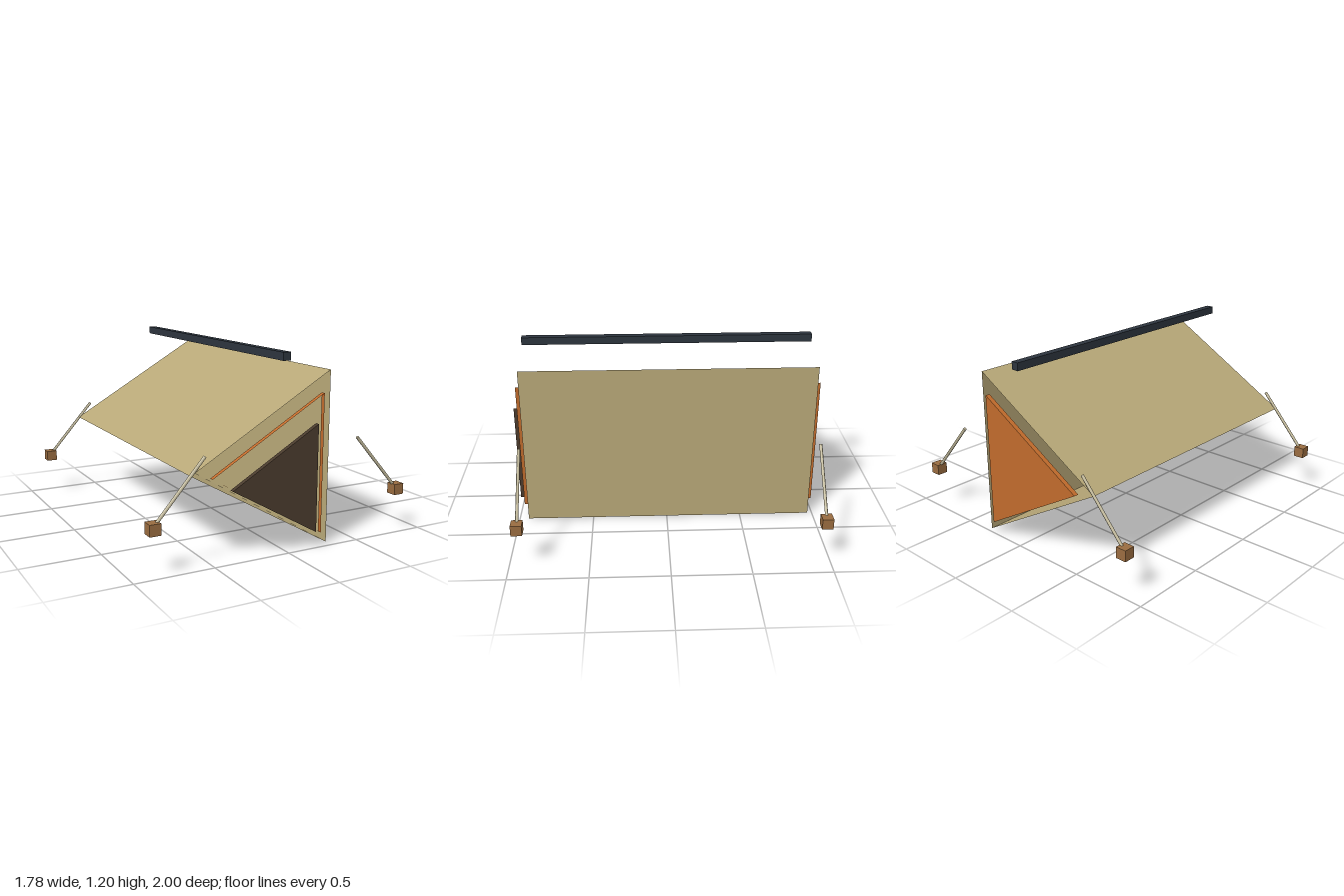
import * as THREE from 'three';

const FRONT = 0.94, BACK = -0.97;

const material = (name, color, open = false) => {
  const m = new THREE.MeshStandardMaterial({ color, side: open ? THREE.DoubleSide : THREE.FrontSide });
  m.name = name;
  return m;
};

// Three-sided prism lying along z, with one corner pointing to -x
function prism(name, radius, y, z0, z1, mat, open) {
  let geo = new THREE.CylinderGeometry(radius, radius, z1 - z0, 3, 1, open, -Math.PI / 2);
  geo.rotateX(Math.PI / 2);
  geo = geo.toNonIndexed();
  geo.computeVertexNormals();
  const mesh = new THREE.Mesh(geo, mat);
  mesh.name = name;
  mesh.position.set(0, y, (z0 + z1) / 2);
  return mesh;
}

// Straight thin rod between two points
function rod(name, a, b, radius, mat) {
  const dir = b.clone().sub(a);
  const mesh = new THREE.Mesh(new THREE.CylinderGeometry(radius, radius, dir.length(), 6), mat);
  mesh.name = name;
  mesh.position.copy(a).add(b).multiplyScalar(0.5);
  mesh.quaternion.setFromUnitVectors(new THREE.Vector3(0, 1, 0), dir.normalize());
  return mesh;
}

function box(name, size, position, mat) {
  const mesh = new THREE.Mesh(new THREE.BoxGeometry(...size), mat);
  mesh.name = name;
  mesh.position.set(...position);
  return mesh;
}

export function createModel() {
  const canvas = material('canvas', 0xb8a878, true);
  const trim = material('orange trim', 0xc06b2c, true);
  const dark = material('dark door', 0x4a3b2d);
  const steel = material('dark pole', 0x2d353e);
  const cord = material('cord', 0xc8bfa0);
  const wood = material('peg wood', 0x996c40);

  const tent = new THREE.Group();
  tent.name = 'tent';

  // Open canvas shell, open front rim, closed back panel and door
  tent.add(
    prism('canvasShell', 0.622, 0.54, BACK, FRONT, canvas, true),
    prism('frontRim', 0.5, 0.513, FRONT, 0.97, trim, true),
    prism('backPanel', 0.5, 0.513, -1, BACK, trim, false),
    prism('door', 0.386, 0.436, 0.97, 1, dark, false)
  );

  // Ridge pole floating over the shell
  tent.add(box('ridgePole', [0.05, 0.05, FRONT - BACK], [0, 1.175, (FRONT + BACK) / 2], steel));

  // Guy ropes and pegs at the four corners
  for (const side of [-1, 1]) {
    for (const z of [0.935, -0.965]) {
      const corner = new THREE.Group();
      corner.name = (z > 0 ? 'front' : 'back') + (side > 0 ? 'Left' : 'Right') + 'Guy';
      corner.add(
        rod('guyRope', new THREE.Vector3(side * 0.53, 0.643, z), new THREE.Vector3(side * 0.85, 0.28, z), 0.01, cord),
        box('peg', [0.07, 0.07, 0.07], [side * 0.853, 0.273, z], wood)
      );
      tent.add(corner);
    }
  }
  return tent;
}
